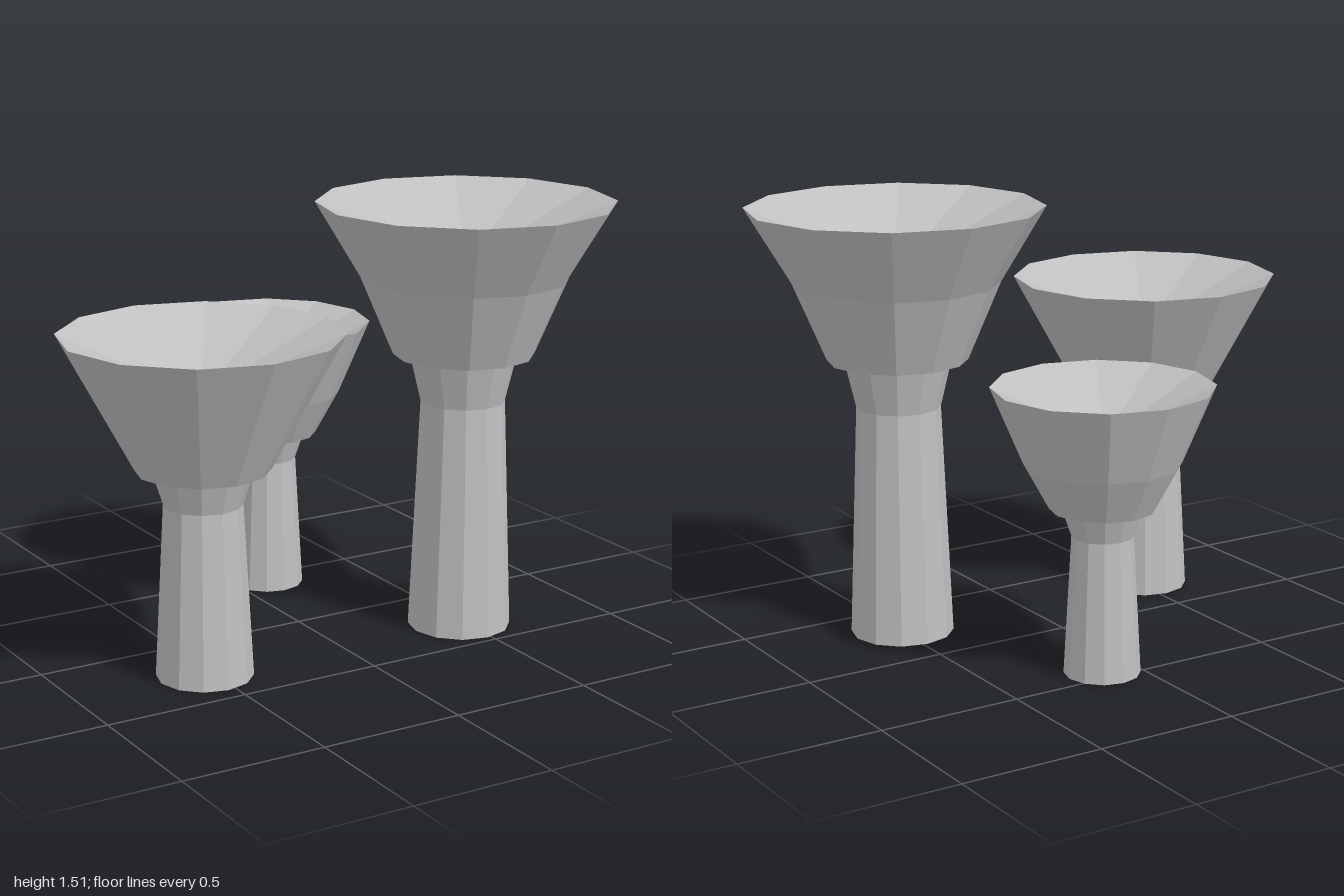
import * as THREE from 'three';

const SIDES = 12;

// Each funnel: position, then [radius, height] profiles from bottom to top
const FUNNELS = [
  {
    name: 'tallFunnel', x: 0.485, z: 0.293,
    stem: [[0.18, 0], [0.146, 0.815], [0.185, 0.98], [0.2, 1.04]],
    bowl: [[0.243, 0.98], [0.357, 1.25], [0.513, 1.51]],
    dish: [[0.06, 1.315], [0.513, 1.51]],
  },
  {
    name: 'mediumFunnel', x: -0.527, z: 0.275,
    stem: [[0.164, 0], [0.132, 0.597], [0.17, 0.715], [0.185, 0.765]],
    bowl: [[0.225, 0.715], [0.473, 1.17]],
    dish: [[0.055, 0.985], [0.473, 1.17]],
  },
  {
    name: 'smallFunnel', x: 0.125, z: -0.439,
    stem: [[0.13, 0], [0.104, 0.48], [0.136, 0.575], [0.15, 0.615]],
    bowl: [[0.178, 0.575], [0.263, 0.73], [0.373, 0.99]],
    dish: [[0.043, 0.825], [0.373, 0.99]],
  },
];

export function createModel() {
  const model = new THREE.Group();
  model.name = 'funnelCluster';
  const grey = new THREE.MeshStandardMaterial({
    name: 'grey', color: 0xc0c0c0, flatShading: true, side: THREE.DoubleSide,
  });

  // Twelve-sided open shell turned from a profile
  const turn = (name, profile) => {
    const points = profile.map(([r, y]) => new THREE.Vector2(r, y));
    const mesh = new THREE.Mesh(new THREE.LatheGeometry(points, SIDES), grey);
    mesh.name = name;
    return mesh;
  };

  for (const f of FUNNELS) {
    const funnel = new THREE.Group();
    funnel.name = f.name;
    funnel.position.set(f.x, 0, f.z);
    // Hollow stem flaring into the open underside of the bowl
    funnel.add(turn('stem', f.stem), turn('bowl', f.bowl));
    // Sunken top: reversed profile faces up, closed by a small flat floor
    const [floorRadius, floorY] = f.dish[0];
    funnel.add(turn('dish', [...f.dish].reverse().concat([[0, floorY]])));
    funnel.userData.floorRadius = floorRadius;
    model.add(funnel);
  }
  return model;
}
